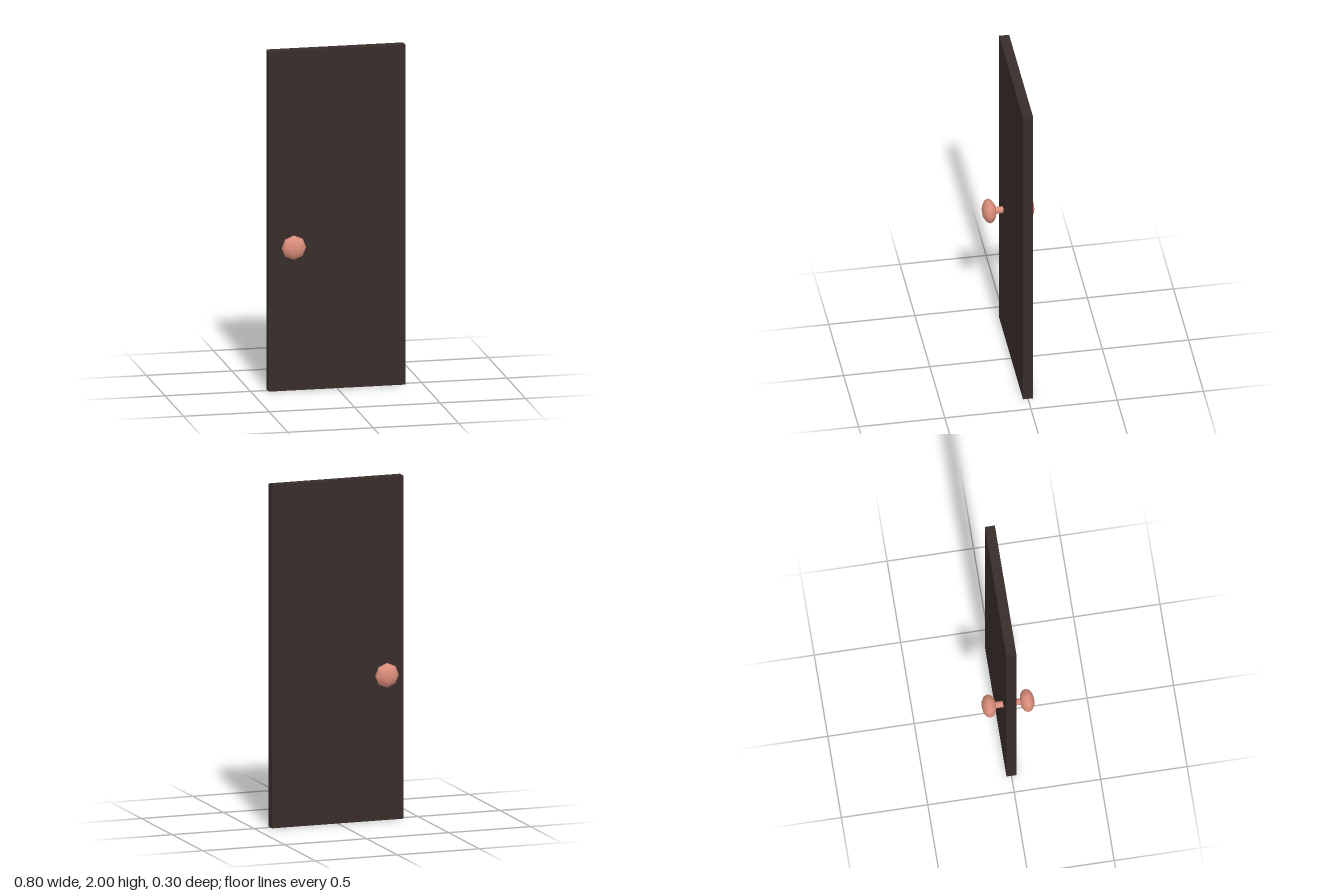
import * as THREE from 'three';

export function createModel() {
  const model = new THREE.Group();
  model.name = 'door';
  const wood = new THREE.MeshStandardMaterial({ color: 0x382d2a });
  const copper = new THREE.MeshStandardMaterial({ color: 0xdc8f7b });

  // Door slab
  const slab = new THREE.Mesh(new THREE.BoxGeometry(0.8, 2, 0.058), wood);
  slab.name = 'doorPanel';
  slab.position.y = 1;
  model.add(slab);

  // One handle on each face: a short stem and a flattened knob
  const stemGeometry = new THREE.CylinderGeometry(0.02, 0.02, 0.09, 8).rotateX(Math.PI / 2);
  const knobGeometry = new THREE.SphereGeometry(1, 8, 6).rotateX(Math.PI / 2).scale(0.072, 0.072, 0.042);
  for (const [name, side] of [['frontHandle', 1], ['backHandle', -1]]) {
    const handle = new THREE.Group();
    handle.name = name;
    handle.position.set(-0.27, 0.86, 0);
    if (side < 0) handle.rotation.y = Math.PI;

    const stem = new THREE.Mesh(stemGeometry, copper);
    stem.name = 'stem';
    stem.position.z = 0.045;
    const knob = new THREE.Mesh(knobGeometry, copper);
    knob.name = 'knob';
    knob.position.z = 0.11;
    handle.add(stem, knob);
    model.add(handle);
  }
  return model;
}
